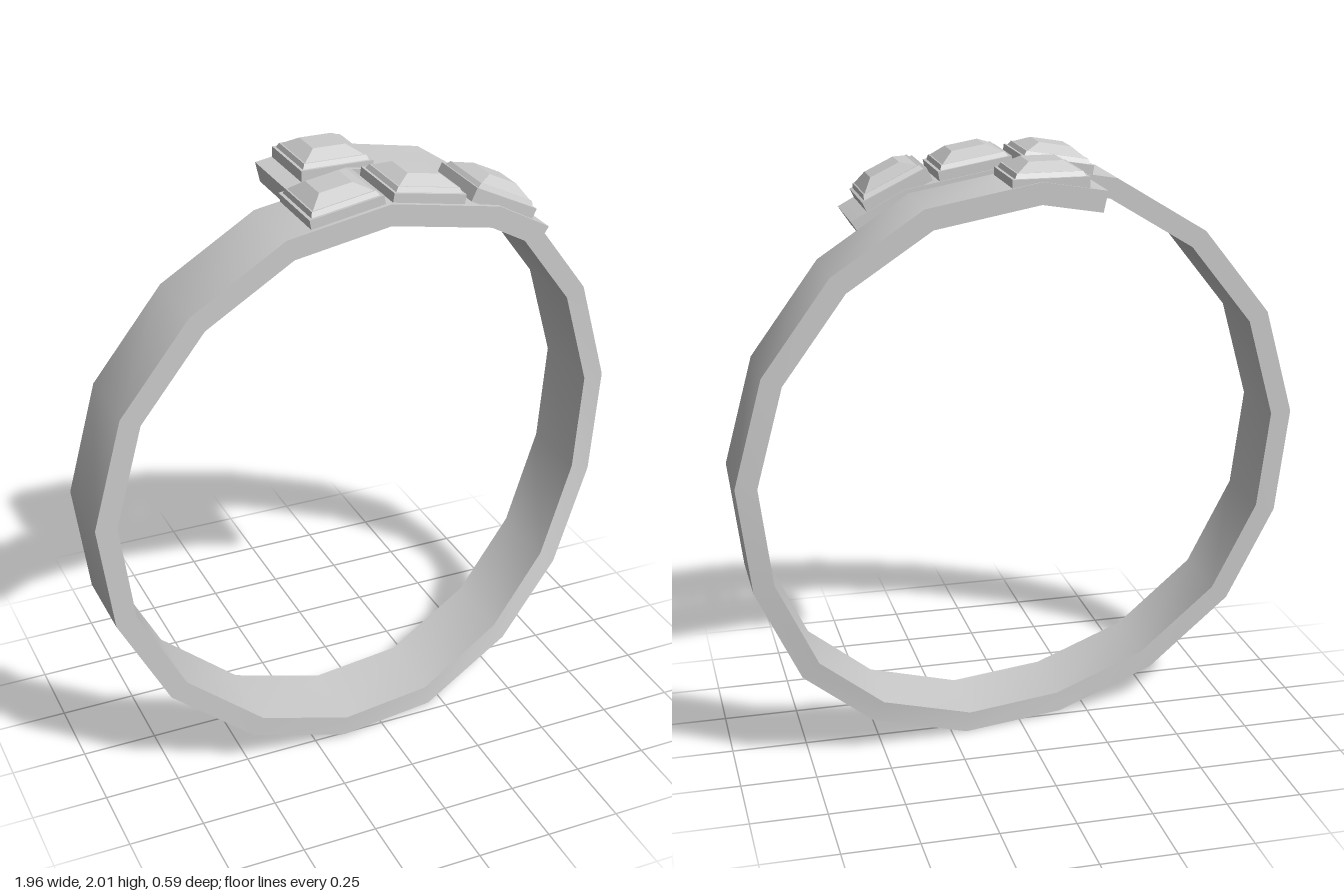
import * as THREE from 'three';
import { toCreasedNormals } from 'three/addons/utils/BufferGeometryUtils.js';

const material = new THREE.MeshStandardMaterial({ color: 0xcccccc });
const flatMaterial = new THREE.MeshStandardMaterial({ color: 0xcccccc, flatShading: true });

// Outer edge of the band as [x, y, z], from the front tip round to the back tip
const PATH = [
  [0.54, 1.79, 0.16], [0.366, 1.884, 0.16], [0, 1.95, 0.16], [-0.34, 1.89, 0.16],
  [-0.65, 1.70, 0.16], [-0.88, 1.41, 0.16], [-0.98, 1.05, 0.16], [-0.935, 0.69, 0.16],
  [-0.77, 0.37, 0.162], [-0.49, 0.13, 0.163], [-0.15, 0.01, 0.138], [0.2, 0, 0.08],
  [0.54, 0.13, -0.01], [0.78, 0.35, -0.088], [0.93, 0.68, -0.138], [0.975, 1.04, -0.16],
  [0.88, 1.39, -0.165], [0.66, 1.69, -0.165], [0.366, 1.884, -0.165], [0, 1.95, -0.165],
  [-0.21, 1.914, -0.165],
];
const CENTRE_Y = 0.975, INNER = 0.928, HALF_WIDTH = 0.132;

// Rectangular section swept along the open, overlapping loop
function bandGeometry() {
  const positions = [], index = [];
  for (const [x, y, z] of PATH) {
    const iy = CENTRE_Y + (y - CENTRE_Y) * INNER;
    positions.push(
      x, y, z + HALF_WIDTH, x, y, z - HALF_WIDTH,
      x * INNER, iy, z - HALF_WIDTH, x * INNER, iy, z + HALF_WIDTH);
  }
  for (let i = 0; i < PATH.length - 1; i++) {
    for (let k = 0; k < 4; k++) {
      const a = i * 4 + k, b = i * 4 + (k + 1) % 4;
      index.push(a, b, a + 4, b, b + 4, a + 4);
    }
  }
  const e = (PATH.length - 1) * 4;
  index.push(0, 2, 1, 0, 3, 2, e, e + 1, e + 2, e, e + 2, e + 3);
  const geometry = new THREE.BufferGeometry();
  geometry.setAttribute('position', new THREE.Float32BufferAttribute(positions, 3));
  geometry.setIndex(index);
  return toCreasedNormals(geometry, 0.7);
}

// Four-sided block tapering from one square to another
function taper(name, bottom, top, height, y) {
  const geometry = new THREE.CylinderGeometry(top * Math.SQRT1_2, bottom * Math.SQRT1_2, height, 4);
  geometry.rotateY(Math.PI / 4);
  const mesh = new THREE.Mesh(geometry, flatMaterial);
  mesh.name = name;
  mesh.position.y = y + height / 2;
  return mesh;
}

// Stepped setting with a faceted square stone
function createGem(name, x, y, z, tilt, length) {
  const gem = new THREE.Group();
  gem.name = name;
  gem.add(
    taper('settingBase', 0.245, 0.245, 0.045, -0.015),
    taper('settingRim', 0.225, 0.21, 0.015, 0.03),
    taper('stone', 0.2, 0.11, 0.027, 0.045));
  gem.position.set(x, y, z);
  gem.rotation.z = tilt;
  gem.scale.x = length;
  return gem;
}

export function createModel() {
  const model = new THREE.Group();
  model.name = 'wrapRing';

  const band = new THREE.Mesh(bandGeometry(), material);
  band.name = 'band';
  model.add(band);

  // Three stones on the front end, one on the back end
  model.add(
    createGem('frontGemLeft', -0.135, 1.926, 0.155, 0.17, 1),
    createGem('frontGemMiddle', 0.13, 1.927, 0.155, -0.17, 1),
    createGem('frontGemRight', 0.384, 1.873, 0.155, -0.45, 0.95),
    createGem('backGem', -0.03, 1.93, -0.17, 0, 1));
  return model;
}
